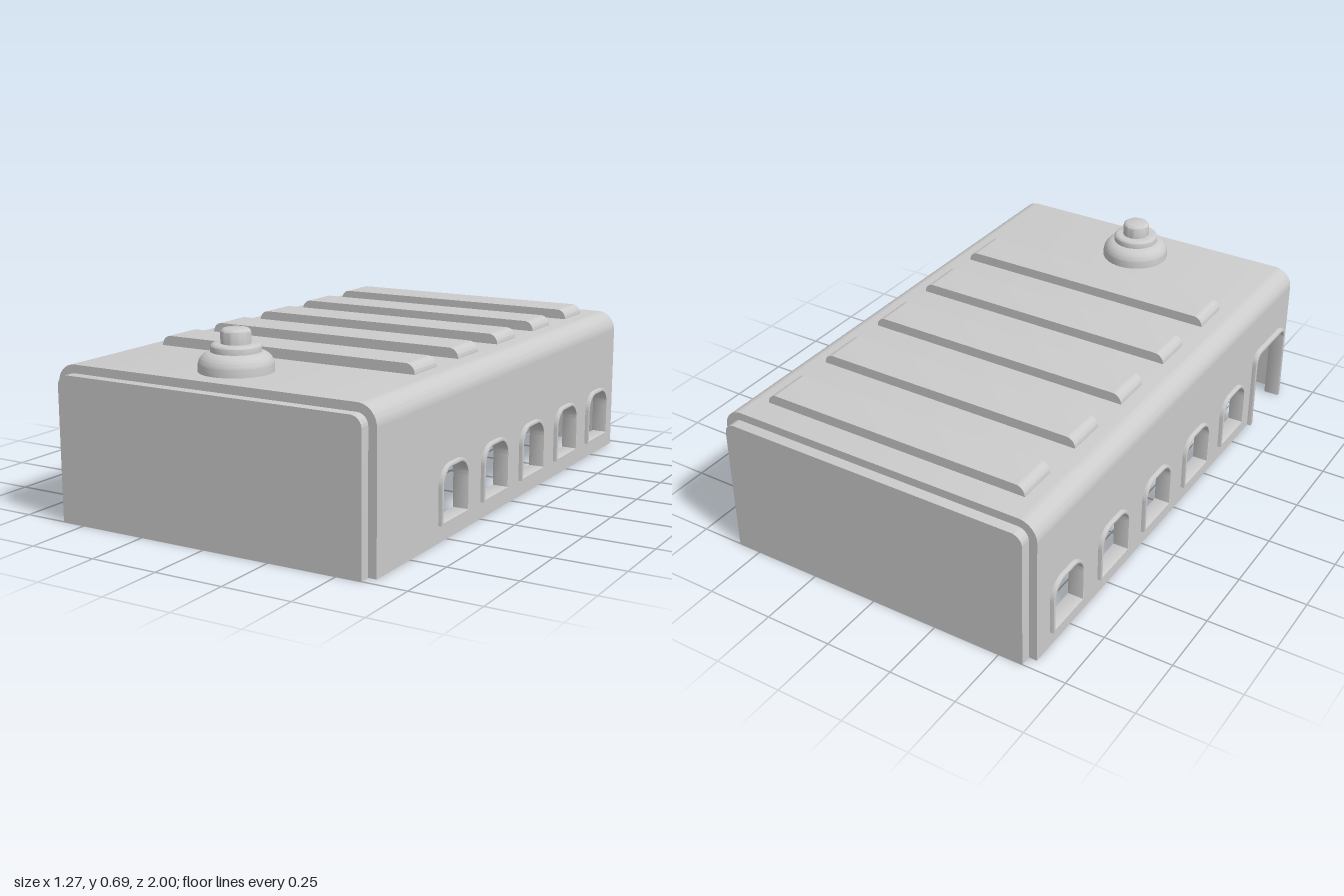
import * as THREE from 'three';
import { toCreasedNormals } from 'three/addons/utils/BufferGeometryUtils.js';

const material = new THREE.MeshStandardMaterial({ color: 0xcccccc, side: THREE.DoubleSide });

const W = 0.62, H = 0.545, R = 0.07, T = 0.03, L = 0.96; // shell half width, height, corner, wall, half length
const BASE = H - R; // top of the straight side walls

// Flat-bottomed outline with two rounded top corners.
function arch(target, c, half, y0, y1, r) {
  target.moveTo(c - half, y0);
  target.lineTo(c + half, y0);
  target.lineTo(c + half, y1 - r);
  target.absarc(c + half - r, y1 - r, r, 0, Math.PI / 2, false);
  target.lineTo(c - half + r, y1);
  target.absarc(c - half + r, y1 - r, r, Math.PI / 2, Math.PI, false);
  target.lineTo(c - half, y0);
  return target;
}

// Upside-down U of constant thickness, open at the bottom.
function archBand(c, half, y0, y1, r, t) {
  const s = new THREE.Shape();
  const cy = y1 - r, a = c + half - r, b = c - half + r;
  s.moveTo(c + half, y0);
  s.lineTo(c + half, cy);
  s.absarc(a, cy, r, 0, Math.PI / 2, false);
  s.absarc(b, cy, r, Math.PI / 2, Math.PI, false);
  s.lineTo(c - half, y0);
  s.lineTo(c - half + t, y0);
  s.absarc(b, cy, r - t, Math.PI, Math.PI / 2, true);
  s.absarc(a, cy, r - t, Math.PI / 2, 0, true);
  s.lineTo(c + half - t, y0);
  return s;
}

function extrude(shape, depth, bevel = 0) {
  const g = new THREE.ExtrudeGeometry(shape, {
    depth: depth - 2 * bevel, curveSegments: 12, bevelEnabled: bevel > 0,
    bevelSize: bevel, bevelThickness: bevel, bevelOffset: -bevel, bevelSegments: 2,
  });
  g.translate(0, 0, bevel);
  return toCreasedNormals(g, 0.6);
}

export function createModel() {
  const model = new THREE.Group();
  const add = (name, geometry) => {
    const mesh = new THREE.Mesh(geometry, material);
    mesh.name = name;
    model.add(mesh);
  };
  // Shape x runs along z; the extrusion spans x0 to x0 + depth.
  const addSide = (name, shape, x0, depth, bevel) => {
    const g = extrude(shape, depth, bevel);
    g.rotateY(-Math.PI / 2);
    g.translate(x0 + depth, 0, 0);
    add(name, g);
  };

  // Roof with rounded shoulders
  const roof = extrude(archBand(0, W, BASE, H, R, T), 2 * L);
  roof.translate(0, 0, -L);
  add('roof', roof);

  // Side walls with window openings and a doorway on the right
  const windows = [0.46, 0.15, -0.16, -0.47, -0.78];
  const door = { z: 0.78, half: 0.14, top: 0.327, r: 0.05, frame: 0.016 };
  for (const side of [1, -1]) {
    const label = side > 0 ? 'left' : 'right';
    const wall = new THREE.Shape();
    wall.moveTo(-L, 0);
    if (side < 0) {
      const { z, half, top, r } = door, h = half - 0.006, t = top - 0.006;
      wall.lineTo(z - h, 0);
      wall.lineTo(z - h, t - r);
      wall.absarc(z - h + r, t - r, r, Math.PI, Math.PI / 2, true);
      wall.absarc(z + h - r, t - r, r, Math.PI / 2, 0, true);
      wall.lineTo(z + h, 0);
    }
    wall.lineTo(L, 0);
    wall.lineTo(L, BASE);
    wall.lineTo(-L, BASE);
    for (const z of windows) {
      wall.holes.push(arch(new THREE.Path(), z, 0.094, 0.066, 0.254, 0.066));
      const frame = arch(new THREE.Shape(), z, 0.1, 0.06, 0.26, 0.07);
      frame.holes.push(arch(new THREE.Path(), z, 0.088, 0.07, 0.248, 0.06));
      addSide(label + 'WindowFrame', frame, side > 0 ? 0.575 : -0.635, 0.06, 0.004);
    }
    addSide(label + 'Wall', wall, side > 0 ? W - T : -W, T);
  }
  addSide('doorFrame', archBand(door.z, door.half, 0, door.top, door.r, door.frame), -0.637, 0.062, 0.005);

  // End walls, slightly smaller than the shell
  for (const [name, z] of [['frontWall', 0.955], ['backWall', -1]]) {
    const g = extrude(arch(new THREE.Shape(), 0, W - T, 0, H - T, R - T), 0.045);
    g.translate(0, 0, z);
    add(name, g);
  }

  // Raised roof ribs with rounded ends
  for (let i = 0; i < 5; i++) {
    const g = extrude(arch(new THREE.Shape(), 0, 0.512, H - 0.005, 0.581, 0.035), 0.153);
    g.translate(0, 0, 0.376 - i * 0.3085);
    add('roofRib', g);
  }

  // Stepped roof vent: three stacked discs with rounded rims
  const profile = new THREE.Path();
  profile.moveTo(0.127, H - 0.005);
  for (const [radius, top, round] of [[0.127, 0.611, 0.048], [0.085, 0.638, 0.012], [0.051, 0.688, 0.016]]) {
    profile.lineTo(radius, profile.currentPoint.y);
    profile.lineTo(radius, top - round);
    profile.absarc(radius - round, top - round, round, 0, Math.PI / 2, false);
  }
  profile.lineTo(0, 0.688);
  const vent = toCreasedNormals(new THREE.LatheGeometry(profile.getPoints(6), 40), 0.6);
  vent.translate(-0.025, 0, 0.765);
  add('roofVent', vent);

  return model;
}
